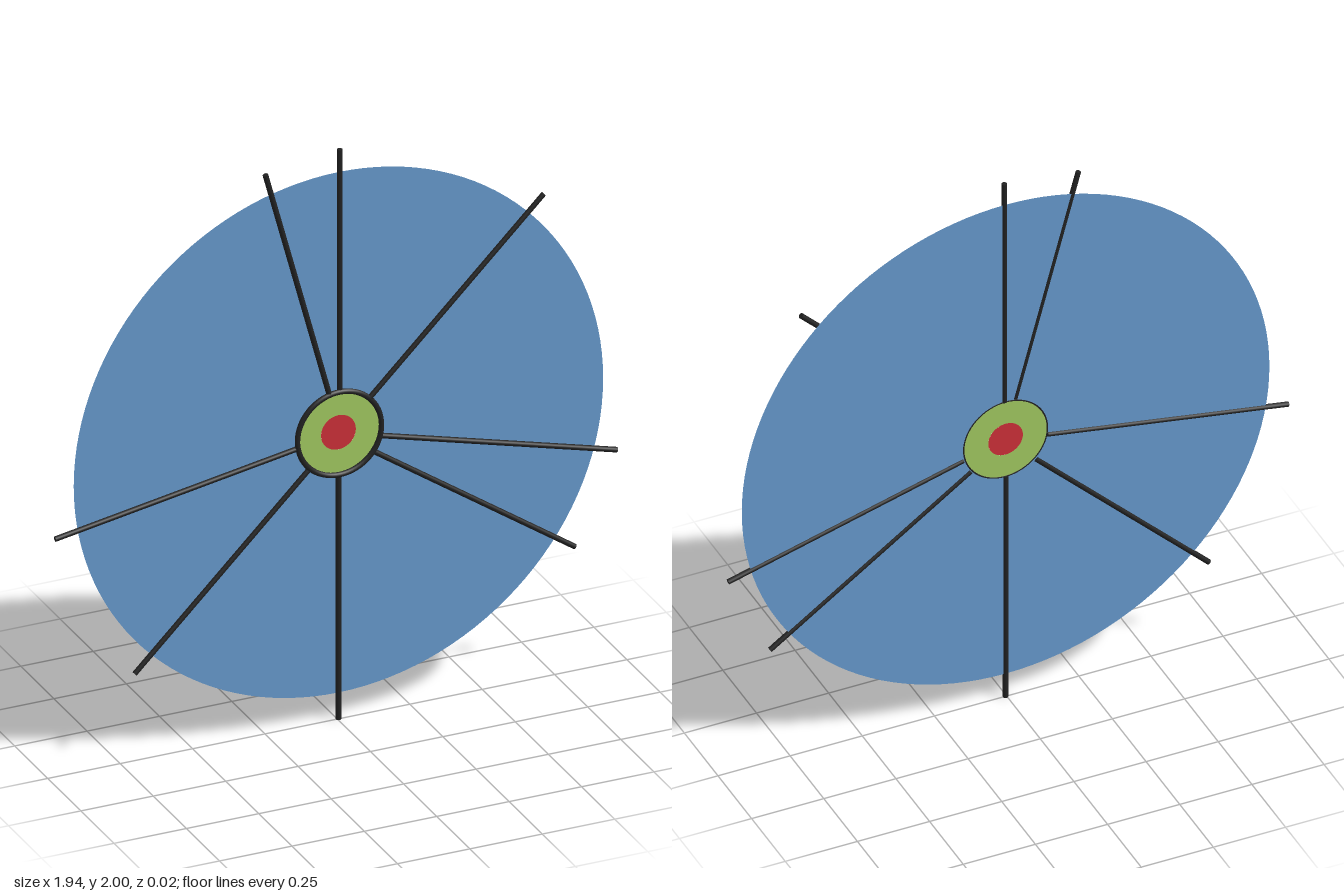
import * as THREE from 'three';

const CX = 0.005, CY = 1.005; // centre of the wheel
const DISC_Z = -0.003;

const mat = (color, extra = {}) => {
  const m = new THREE.MeshStandardMaterial(extra);
  m.color.set(color);
  return m;
};

export function createModel() {
  const group = new THREE.Group();
  const black = mat(0x222222);

  const add = (name, geometry, material, x, y, z) => {
    const mesh = new THREE.Mesh(geometry, material);
    mesh.name = name;
    mesh.position.set(x, y, z);
    group.add(mesh);
    return mesh;
  };

  // Paper-thin concentric discs, fitted inside one another
  const discs = [
    ['outerDisc', 0.145, 0.914, 0x6699cc],
    ['hubDisc', 0.06, 0.145, 0xa0c860],
    ['hubCentre', 0, 0.06, 0xcc3038],
  ];
  for (const [name, inner, outer, color] of discs) {
    const geometry = inner > 0
      ? new THREE.RingGeometry(inner, outer, 128)
      : new THREE.CircleGeometry(outer, 64);
    add(name, geometry, mat(color, { side: THREE.DoubleSide }), CX, CY, DISC_Z);
  }

  // Wire ring round the hub, just touching the back of the disc
  add('hubRing', new THREE.TorusGeometry(0.145, 0.009, 8, 64), black, CX, CY, 0.005);

  // Wire spokes: start x, y, end x, y, depth
  const spokes = [
    [-0.03, 1.15, -0.25, 1.965, 0.003],
    [0.008, 1.15, 0.008, 2.0, 0],
    [0.11, 1.11, 0.71, 1.70, 0.006],
    [0.15, 0.965, 0.965, 0.745, 0],
    [0.125, 0.915, 0.82, 0.435, 0],
    [0.004, 0.86, 0.004, 0.0, 0],
    [-0.10, 0.895, -0.70, 0.305, 0],
    [-0.14, 0.978, -0.975, 0.835, 0],
  ];
  spokes.forEach(([x0, y0, x1, y1, z], i) => {
    const length = Math.hypot(x1 - x0, y1 - y0);
    const rod = add(`spoke${i + 1}`, new THREE.CylinderGeometry(0.009, 0.009, length, 10),
      black, (x0 + x1) / 2, (y0 + y1) / 2, z);
    rod.rotation.z = Math.atan2(y1 - y0, x1 - x0) - Math.PI / 2;
  });

  return group;
}
